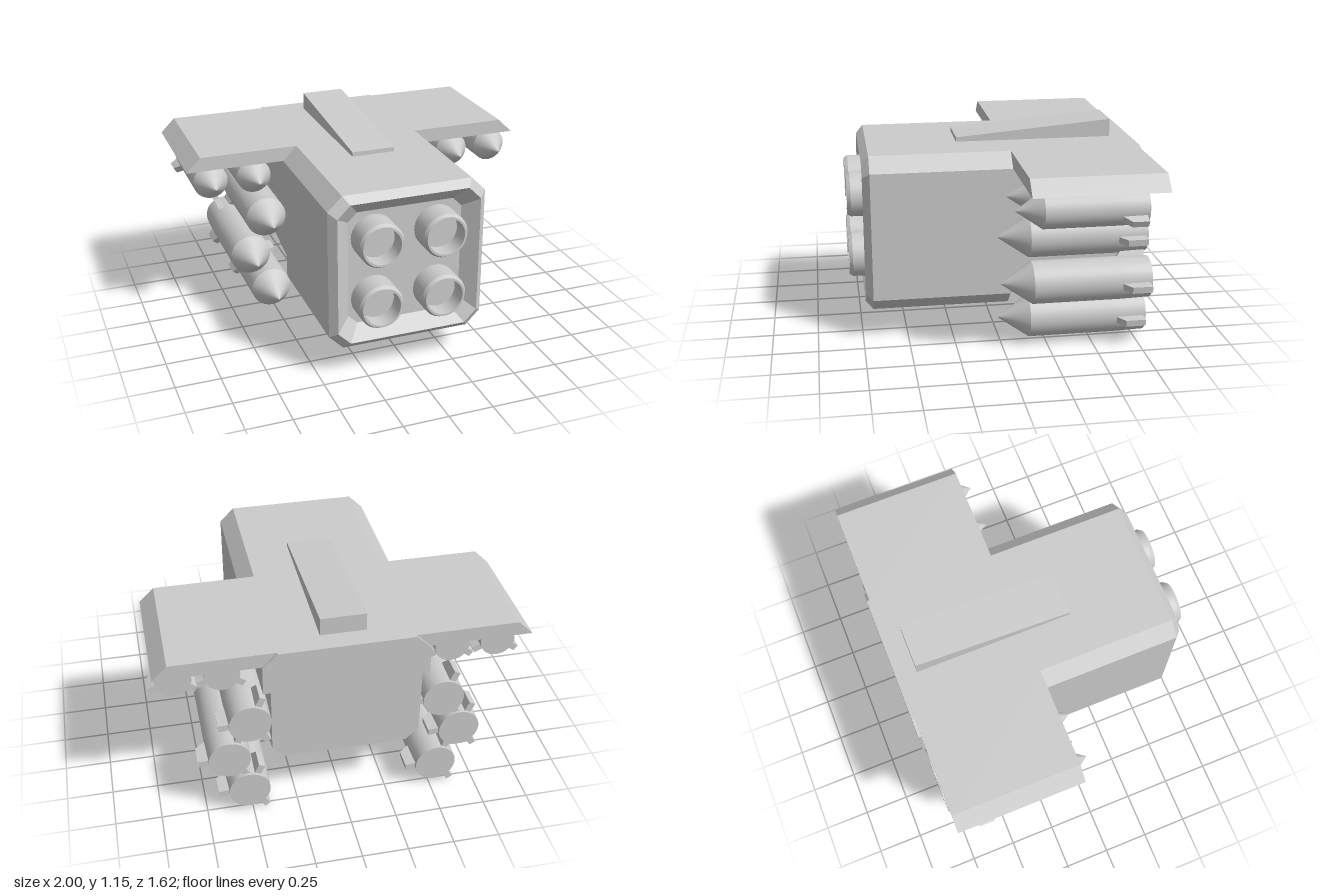
import * as THREE from 'three';

const grey = new THREE.MeshStandardMaterial({ color: 0xcccccc });
const CX = -0.01; // hull centre line

function add(parent, name, geometry, x = 0, y = 0, z = 0) {
  const mesh = new THREE.Mesh(geometry, grey);
  mesh.name = name;
  mesh.position.set(x, y, z);
  parent.add(mesh);
  return mesh;
}

// Flat-faced loft through [z, outline] sections; outlines run counter-clockwise seen from +z
function loft(sections) {
  const n = sections[0][1].length;
  const pos = [], idx = [];
  for (const [z, pts] of sections) for (const [x, y] of pts) pos.push(x, y, z);
  for (let s = 0; s < sections.length - 1; s++) {
    for (let i = 0; i < n; i++) {
      const a = s * n + i, b = s * n + (i + 1) % n;
      idx.push(a, a + n, b, b, a + n, b + n);
    }
  }
  const cap = (s, flip) => {
    const pts = sections[s][1].map(([x, y]) => new THREE.Vector2(x, y));
    for (const [a, b, c] of THREE.ShapeUtils.triangulateShape(pts, [])) {
      idx.push(s * n + a, s * n + (flip ? c : b), s * n + (flip ? b : c));
    }
  };
  cap(0, false);
  cap(sections.length - 1, true);
  const g = new THREE.BufferGeometry();
  g.setAttribute('position', new THREE.Float32BufferAttribute(pos, 3));
  g.setIndex(idx);
  const flat = g.toNonIndexed();
  flat.computeVertexNormals();
  return flat;
}

// Right half of an outline, mirrored to the other side of the centre line
const mirrored = half => [
  ...half.map(([x, y]) => [CX + x, y]),
  ...half.slice().reverse().map(([x, y]) => [CX - x, y]),
];
const octagon = (w, y0, y1, c) =>
  mirrored([[w - c, y0], [w, y0 + c], [w, y1 - c], [w - c, y1]]);
// Rear outline: full width on top, undercut below the ledge
const rearOutline = (y0, ledge) =>
  mirrored([[0.33, y0], [0.4, y0 + 0.07], [0.4, ledge], [0.44, ledge], [0.44, 0.98], [0.36, 1.06]]);

function extrude(points, depth) {
  const shape = new THREE.Shape(points.map(([x, y]) => new THREE.Vector2(x, y)));
  return new THREE.ExtrudeGeometry(shape, { depth, bevelEnabled: false });
}

// Straight-sided turned part along +z, with hard edges between the segments
function turned(parent, name, profile, sides = 32) {
  const group = new THREE.Group();
  group.name = name;
  for (let i = 0; i < profile.length - 1; i++) {
    const pts = [profile[i], profile[i + 1]].map(([r, z]) => new THREE.Vector2(r, z));
    add(group, name + 'Surface', new THREE.LatheGeometry(pts, sides).rotateX(Math.PI / 2));
  }
  parent.add(group);
  return group;
}

function missile(parent, name, x, y, r, tip, tail, fins, finReach, firstFin) {
  const group = turned(parent, name, [
    [0, tail], [r * 0.96, tail], [r, fins[0]], [r, -0.15], [0, tip],
  ]);
  group.position.set(x, y, 0);
  // Three swept fins, drawn as (radius, z) and turned around the axis
  const t = 0.036;
  const outline = [[r * 0.8, fins[0]], [r * 0.8, fins[1]], [finReach, fins[1]], [finReach, fins[0] - 0.04], [r, fins[0]]];
  for (let i = 0; i < 3; i++) {
    const g = extrude(outline, t).translate(0, 0, -t / 2).rotateX(Math.PI / 2);
    g.rotateZ(THREE.MathUtils.degToRad(firstFin + i * 120));
    add(group, 'fin', g);
  }
}

export function createModel() {
  const model = new THREE.Group();
  model.name = 'missileCraft';

  // Front hull with bevelled rim and recessed nose panel
  add(model, 'frontHull', loft([
    [0.66, octagon(0.32, 0.3, 0.945, 0.05)],
    [0.73, octagon(0.4, 0.22, 1.02, 0.07)],
    [0.69, octagon(0.44, 0.18, 1.06, 0.08)],
    [-0.07, octagon(0.44, 0.18, 1.06, 0.08)],
  ]));
  // Rear hull with a rising belly
  add(model, 'rearHull', loft([
    [-0.07, rearOutline(0.22, 0.76)],
    [-0.805, rearOutline(0.38, 0.82)],
  ]));

  // Four hollow tubes in the nose
  for (const x of [-0.19, 0.165]) {
    for (const y of [0.445, 0.798]) {
      turned(model, 'noseTube', [
        [0.124, 0.65], [0.124, 0.79], [0.112, 0.81], [0.1, 0.81], [0.1, 0.71], [0, 0.71],
      ]).position.set(x, y, 0);
    }
  }

  // Wings with slanted tips
  for (const side of [-1, 1]) {
    const pts = [[0.36, 0.98], [0.99, 0.98], [0.91, 1.06], [0.36, 1.06]];
    const wing = pts.map(([x, y]) => [CX + side * x, y]);
    add(model, side > 0 ? 'leftWing' : 'rightWing', extrude(wing, 0.71), 0, 0, -0.79);
  }

  // Wedge on the back, profile drawn as (-z, y)
  const wedge = extrude([[-0.19, 1.05], [0.69, 1.05], [0.69, 1.16], [-0.19, 1.085]], 0.245);
  add(model, 'dorsalWedge', wedge.rotateY(Math.PI / 2), -0.133);

  // Small missiles under the wings
  for (const x of [-0.855, -0.605, 0.62, 0.87]) {
    missile(model, 'wingMissile', x, 0.885, 0.098, -0.01, -0.69, [-0.55, -0.675], 0.14, -25);
  }
  // Large missiles beside the hull
  for (const [x, y] of [[-0.543, 0.62], [-0.644, 0.395], [-0.527, 0.16], [0.5, 0.62], [0.617, 0.395], [0.516, 0.16]]) {
    missile(model, 'hullMissile', x, y, 0.117, 0.02, -0.795, [-0.63, -0.78], 0.168, -5);
  }
  return model;
}
